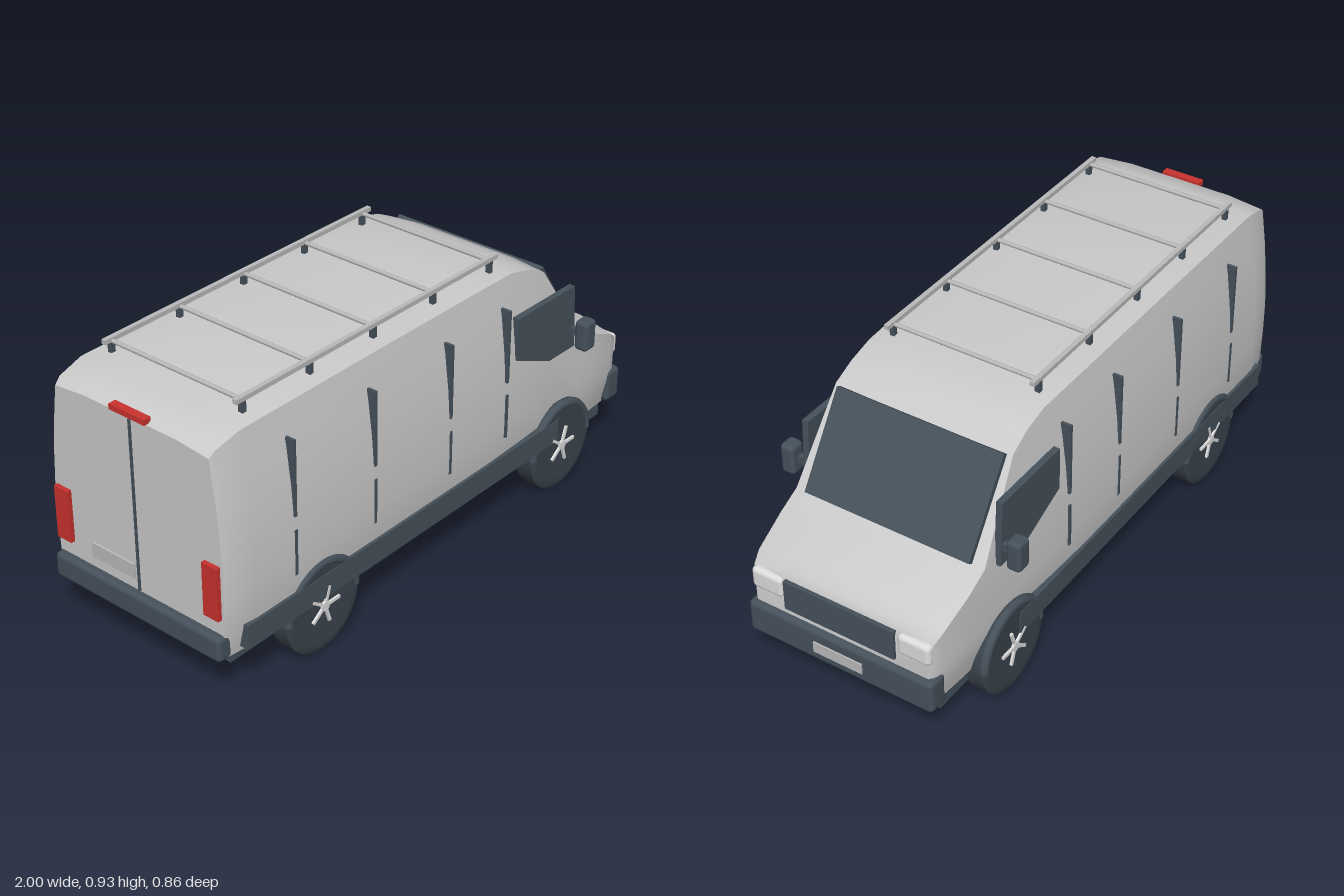
import * as THREE from 'three';
import { toCreasedNormals } from 'three/addons/utils/BufferGeometryUtils.js';
import { RoundedBoxGeometry } from 'three/addons/geometries/RoundedBoxGeometry.js';

const mat = (name, color) => {
  const m = new THREE.MeshStandardMaterial({ color });
  m.name = name;
  return m;
};

// Half width of the body at a given height
const WIDTHS = [[0.16, 0.335], [0.27, 0.36], [0.42, 0.361], [0.5, 0.36], [0.63, 0.35], [0.75, 0.335], [0.9, 0.31]];
function halfWidth(y) {
  for (let i = 1; i < WIDTHS.length; i++) {
    const [y0, w0] = WIDTHS[i - 1], [y1, w1] = WIDTHS[i];
    if (y <= y1) return w0 + (w1 - w0) * (y - y0) / (y1 - y0);
  }
  return 0.31;
}

// Body lofted along x; stations are [x, roof height, width scale, drop of the roof edge]
function bodyGeometry() {
  const stations = [
    [-0.973, 0.845, 0.945, 0.012], [-0.95, 0.864, 0.97, 0.012], [-0.86, 0.888, 1, 0.012],
    [-0.3, 0.89, 1, 0.012], [0.2, 0.89, 1, 0.012], [0.37, 0.885, 0.985, 0.012],
    [0.46, 0.862, 0.975, 0.012], [0.535, 0.825, 0.965, 0.012], [0.72, 0.545, 0.945, 0.015],
    [0.8, 0.515, 0.94, 0.025], [0.92, 0.465, 0.915, 0.03], [0.955, 0.44, 0.89, 0.03], [0.97, 0.4, 0.86, 0.03],
  ];
  const yb = 0.165, pos = [], index = [];
  let n = 0;
  for (const [x, yt, s, drop] of stations) {
    const half = [];
    for (const f of [0, 0.14, 0.3, 0.47, 0.65, 0.82, 1]) {
      const y = yb + f * (yt - drop - yb);
      half.push([y, halfWidth(y) * s]);
    }
    half.push([yt, half[6][1] * 0.6]);
    const ring = [...half, ...half.slice().reverse().map(([y, z]) => [y, -z])];
    n = ring.length;
    ring.forEach(([y, z]) => pos.push(x, y, z));
  }
  const last = stations.length - 1;
  for (let i = 0; i < last; i++) for (let j = 0; j < n; j++) {
    const k = (j + 1) % n, a = i * n + j, b = a + n, c = i * n + k, d = c + n;
    index.push(a, b, c, b, d, c);
  }
  // End caps
  for (let j = 1; j < n - 1; j++) {
    index.push(0, j, j + 1, last * n, last * n + j + 1, last * n + j);
  }
  const g = new THREE.BufferGeometry();
  g.setAttribute('position', new THREE.Float32BufferAttribute(pos, 3));
  g.setIndex(index);
  return toCreasedNormals(g, 0.7);
}

export function createModel() {
  const van = new THREE.Group();
  van.name = 'van';
  const paint = mat('light grey paint', 0xcacaca);
  const dark = mat('slate trim', 0x46515b);
  const tyre = mat('dark tyre', 0x3a434c);
  const lamp = mat('lamp glass', 0xdcdcdc);
  const metal = mat('rack metal', 0xbababa);
  const red = mat('red lamp', 0xc9332f);

  const add = (name, geo, m, x = 0, y = 0, z = 0, parent = van) => {
    const mesh = new THREE.Mesh(geo, m);
    mesh.name = name;
    mesh.position.set(x, y, z);
    parent.add(mesh);
    return mesh;
  };
  // Box from its limits on each axis, optionally rounded
  const box = (name, m, [x0, x1], [y0, y1], [z0, z1], r = 0) => {
    const size = [x1 - x0, y1 - y0, z1 - z0];
    const g = r ? new RoundedBoxGeometry(...size, 3, r) : new THREE.BoxGeometry(...size);
    return add(name, g, m, (x0 + x1) / 2, (y0 + y1) / 2, (z0 + z1) / 2);
  };
  const mirrored = (s, a, b) => (s > 0 ? [a, b] : [-b, -a]);

  add('body', bodyGeometry(), paint);
  box('chassis', dark, [-0.92, 0.91], [0.117, 0.17], [-0.305, 0.305]);

  // Windscreen lies on the sloping face
  const screen = add('windscreen', new THREE.BoxGeometry(0.333, 0.018, 0.59), dark, 0.638, 0.676, 0);
  screen.rotation.z = -Math.atan2(0.28, 0.185);

  // Nose
  box('grille', dark, [0.95, 0.979], [0.31, 0.415], [-0.198, 0.198]);
  box('frontBumper', dark, [0.915, 0.99], [0.168, 0.286], [-0.333, 0.333], 0.018);
  box('frontPlate', metal, [0.986, 0.995], [0.207, 0.245], [-0.088, 0.088]);

  // Tail
  box('rearBumper', dark, [-1, -0.945], [0.17, 0.256], [-0.34, 0.34], 0.016);
  box('doorSeam', dark, [-0.978, -0.968], [0.26, 0.84], [-0.004, 0.004]);
  box('rearPlate', metal, [-0.98, -0.971], [0.295, 0.345], [-0.19, -0.015]);
  box('highBrakeLamp', red, [-0.985, -0.958], [0.85, 0.868], [-0.07, 0.07]);

  // Lathe profile of a tyre, closed on both sides
  const profile = [[0, -0.034], [0.07, -0.034], [0.13, -0.038], [0.148, -0.037], [0.16, -0.03],
    [0.16, 0.03], [0.148, 0.037], [0.13, 0.038], [0.07, 0.034], [0, 0.034]]
    .map(([r, h]) => new THREE.Vector2(r, h));
  const tyreGeo = toCreasedNormals(new THREE.LatheGeometry(profile, 40), 0.9);

  // Front door window outline
  const glass = new THREE.Shape([[0.352, 0.732], [0.352, 0.585], [0.53, 0.508], [0.665, 0.508], [0.652, 0.732]]
    .map(([x, y]) => new THREE.Vector2(x, y)));
  const glassGeo = new THREE.ExtrudeGeometry(glass, { depth: 0.022, bevelEnabled: false });

  for (const s of [1, -1]) {
    const side = s > 0 ? 'left' : 'right';
    add(side + 'Window', glassGeo, dark, 0, 0, s > 0 ? 0.333 : -0.355);
    box(side + 'SideTrim', dark, [-0.91, 0.58], [0.187, 0.27], mirrored(s, 0.335, 0.369));
    box(side + 'Headlamp', lamp, [0.905, 0.978], [0.338, 0.413], mirrored(s, 0.205, 0.32), 0.016);
    box(side + 'TailLamp', red, [-0.988, -0.96], [0.31, 0.49], mirrored(s, 0.272, 0.33));
    box(side + 'MirrorArm', dark, [0.638, 0.658], [0.563, 0.588], mirrored(s, 0.33, 0.39));
    box(side + 'Mirror', dark, [0.623, 0.68], [0.522, 0.628], mirrored(s, 0.38, 0.43), 0.014);

    // Panel seams, upper and lower
    for (const x of [-0.693, -0.342, 0.015, 0.3]) {
      box(side + 'UpperSeam', dark, [x - 0.005, x + 0.005], [0.53, 0.785], mirrored(s, 0.325, 0.362));
      box(side + 'LowerSeam', dark, [x - 0.005, x + 0.005], [0.33, 0.485], mirrored(s, 0.345, 0.363));
    }

    // Wheels with arches and five-spoke hubs
    for (const x of [-0.58, 0.61]) {
      const wheel = new THREE.Group();
      wheel.name = side + (x > 0 ? 'FrontWheel' : 'RearWheel');
      wheel.position.set(x, 0.16, s * 0.329);
      van.add(wheel);
      add('tyre', tyreGeo, tyre, 0, 0, 0, wheel).rotation.x = Math.PI / 2;
      add('wheelArch', new THREE.TorusGeometry(0.147, 0.016, 8, 32, Math.PI), dark, 0, 0, s * 0.026, wheel);
      add('hub', new THREE.CylinderGeometry(0.016, 0.016, 0.016, 16), lamp, 0, 0, s * 0.036, wheel).rotation.x = Math.PI / 2;
      for (let i = 0; i < 5; i++) {
        const a = Math.PI * (0.4 * i + 0.4) * s;
        const spoke = add('spoke', new THREE.BoxGeometry(0.062, 0.01, 0.012), lamp,
          Math.cos(a) * 0.035, Math.sin(a) * 0.035, s * 0.036, wheel);
        spoke.rotation.z = a;
      }
    }

    // Roof rack rail and posts
    box(side + 'RackRail', metal, [-0.82, 0.353], [0.917, 0.932], mirrored(s, 0.25, 0.266));
    for (let i = 0; i < 5; i++) {
      const x = -0.79 + i * 0.277;
      box(side + 'RackPost', dark, [x - 0.008, x + 0.008], [0.87, 0.918], mirrored(s, 0.25, 0.266));
    }
  }
  for (let i = 0; i < 5; i++) {
    const bar = add('rackCrossbar', new THREE.CylinderGeometry(0.007, 0.007, 0.51, 10), metal, -0.79 + i * 0.277, 0.919, 0);
    bar.rotation.x = Math.PI / 2;
  }
  return van;
}
